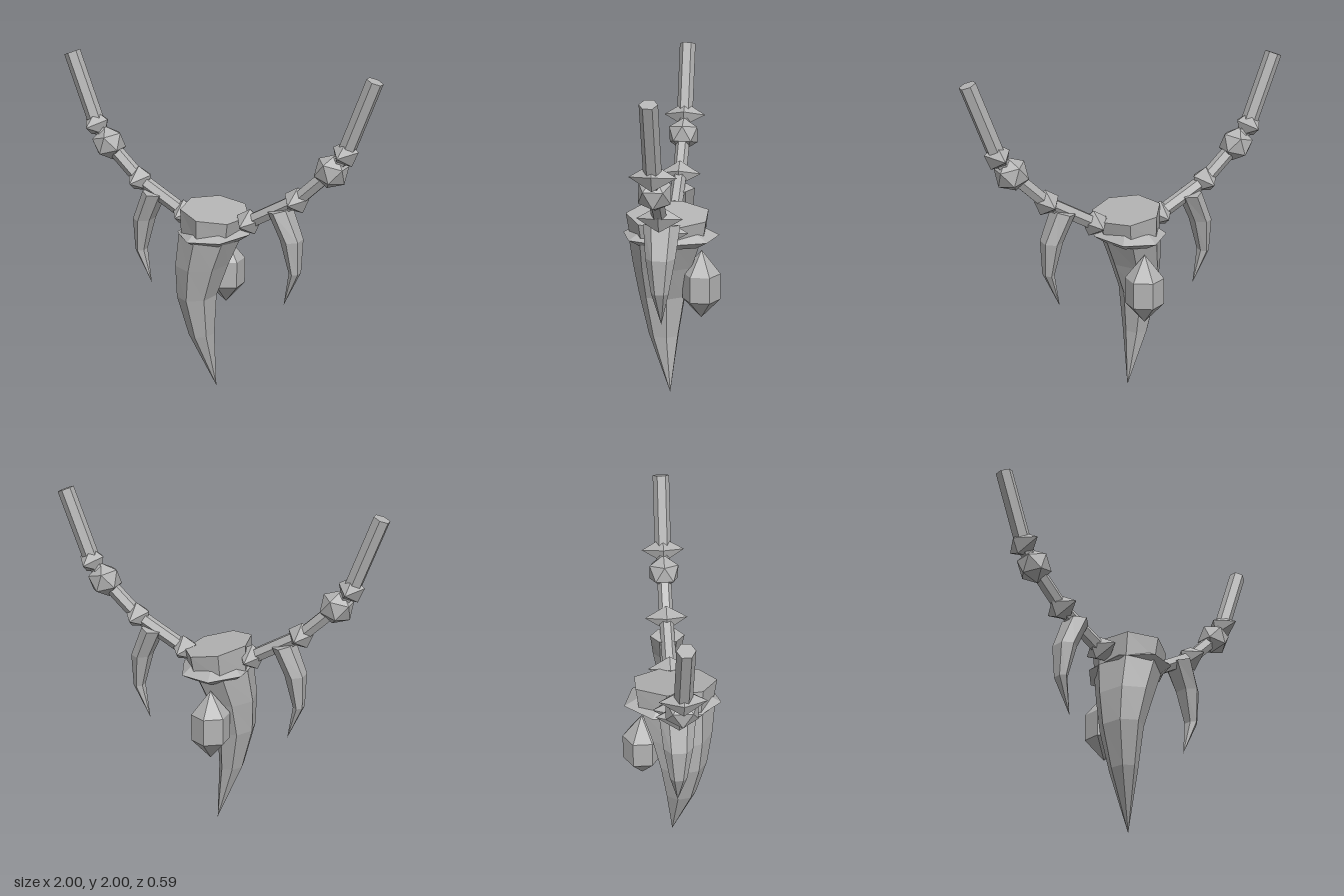
import * as THREE from 'three';

const bone = new THREE.MeshStandardMaterial({ color: 0xb4b4b4, flatShading: true });
bone.name = 'grey bone';

// Skin elliptical sections [x, y, z, rx, rz, slope], listed from top to bottom
function loft(sections, sides, phase) {
  const pos = [], index = [];
  for (const [cx, cy, cz, rx, rz, slope = 0] of sections) {
    for (let j = 0; j < sides; j++) {
      const a = phase + (j / sides) * Math.PI * 2;
      const dx = Math.cos(a) * rx;
      pos.push(cx + dx, cy + slope * dx, cz + Math.sin(a) * rz);
    }
  }
  for (let i = 0; i < sections.length - 1; i++) {
    for (let j = 0; j < sides; j++) {
      const k = (j + 1) % sides;
      const a = i * sides + j, b = i * sides + k;
      const c = a + sides, d = b + sides;
      if (sections[i][3] > 0) index.push(a, b, c);
      if (sections[i + 1][3] > 0) index.push(b, d, c);
    }
  }
  const g = new THREE.BufferGeometry();
  g.setAttribute('position', new THREE.Float32BufferAttribute(pos, 3));
  g.setIndex(index);
  const flat = g.toNonIndexed();
  flat.computeVertexNormals();
  return flat;
}

export function createModel() {
  const model = new THREE.Group();
  model.name = 'fangNecklace';
  const add = (geometry, name) => {
    const mesh = new THREE.Mesh(geometry, bone);
    mesh.name = name;
    model.add(mesh);
    return mesh;
  };
  const H = Math.PI / 2;

  // Large curved centre fang
  add(loft([
    [-0.02, 1.0, 0.02, 0, 0],
    [-0.02, 1.0, 0.02, 0.185, 0.235],
    [-0.07, 0.8, 0.045, 0.155, 0.19],
    [-0.1, 0.6, 0.055, 0.115, 0.148],
    [-0.075, 0.35, 0.045, 0.075, 0.095],
    [0, 0, 0, 0, 0],
  ], 7, H), 'centreFang');

  // Slanted seven-sided cap above the fang
  add(loft([
    [0, 1.13, 0.01, 0, 0],
    [0, 1.13, 0.01, 0.195, 0.255, -0.17],
    [-0.01, 1.0, 0.01, 0.185, 0.235],
    [-0.01, 1.0, 0.01, 0, 0],
  ], 7, H), 'fangCap');

  // Sharp collar between cap and fang
  add(loft([
    [0, 1.04, 0, 0, 0],
    [0, 1.04, 0, 0.16, 0.22],
    [0, 1.0, 0, 0.215, 0.295],
    [0, 0.955, 0, 0.15, 0.21],
    [0, 0.955, 0, 0, 0],
  ], 7, 0), 'collar');

  // Hanging gem behind the fang
  add(loft([
    [-0.025, 0.91, -0.185, 0, 0],
    [-0.025, 0.765, -0.185, 0.115, 0.115],
    [-0.025, 0.605, -0.185, 0.115, 0.115],
    [-0.025, 0.485, -0.185, 0, 0],
  ], 6, H), 'backGem');

  // Cord, beads and small fangs on both sides
  const path = [[0.96, 1.985], [0.8, 1.56], [0.72, 1.45], [0.51, 1.25], [0.21, 1.08], [0.1, 1.06]];
  const spindle = new THREE.SphereGeometry(1, 5, 2).rotateY(-H).rotateX(H).scale(0.08, 0.08, 0.13);
  const round = new THREE.IcosahedronGeometry(0.104, 0);
  for (const s of [-1, 1]) {
    const side = s > 0 ? 'left' : 'right';
    for (let i = 0; i < path.length - 1; i++) {
      const [x0, y0] = path[i], [x1, y1] = path[i + 1];
      const dx = s * (x0 - x1), dy = y0 - y1;
      const r = i === 0 ? 0.05 : 0.043;
      const cord = add(new THREE.CylinderGeometry(r, r, Math.hypot(dx, dy), 6), side + 'Cord');
      cord.position.set(s * (x0 + x1) / 2, (y0 + y1) / 2, 0);
      cord.rotation.z = Math.atan2(-dx, dy);
    }
    for (let i = 1; i < 5; i++) {
      const bead = add(i === 2 ? round : spindle, side + 'Bead');
      bead.position.set(s * path[i][0], path[i][1], 0);
      bead.rotation.z = i === 2 ? s * 0.3 : -s * 0.1;
    }
    add(loft([
      [s * 0.41, 1.185, 0, 0, 0],
      [s * 0.41, 1.185, 0, 0.064, 0.105, s * 0.2],
      [s * 0.485, 1.01, 0, 0.064, 0.085],
      [s * 0.508, 0.81, 0, 0.033, 0.05],
      [s * 0.44, 0.6, 0, 0, 0],
    ], 6, H), side + 'Fang');
  }
  return model;
}
